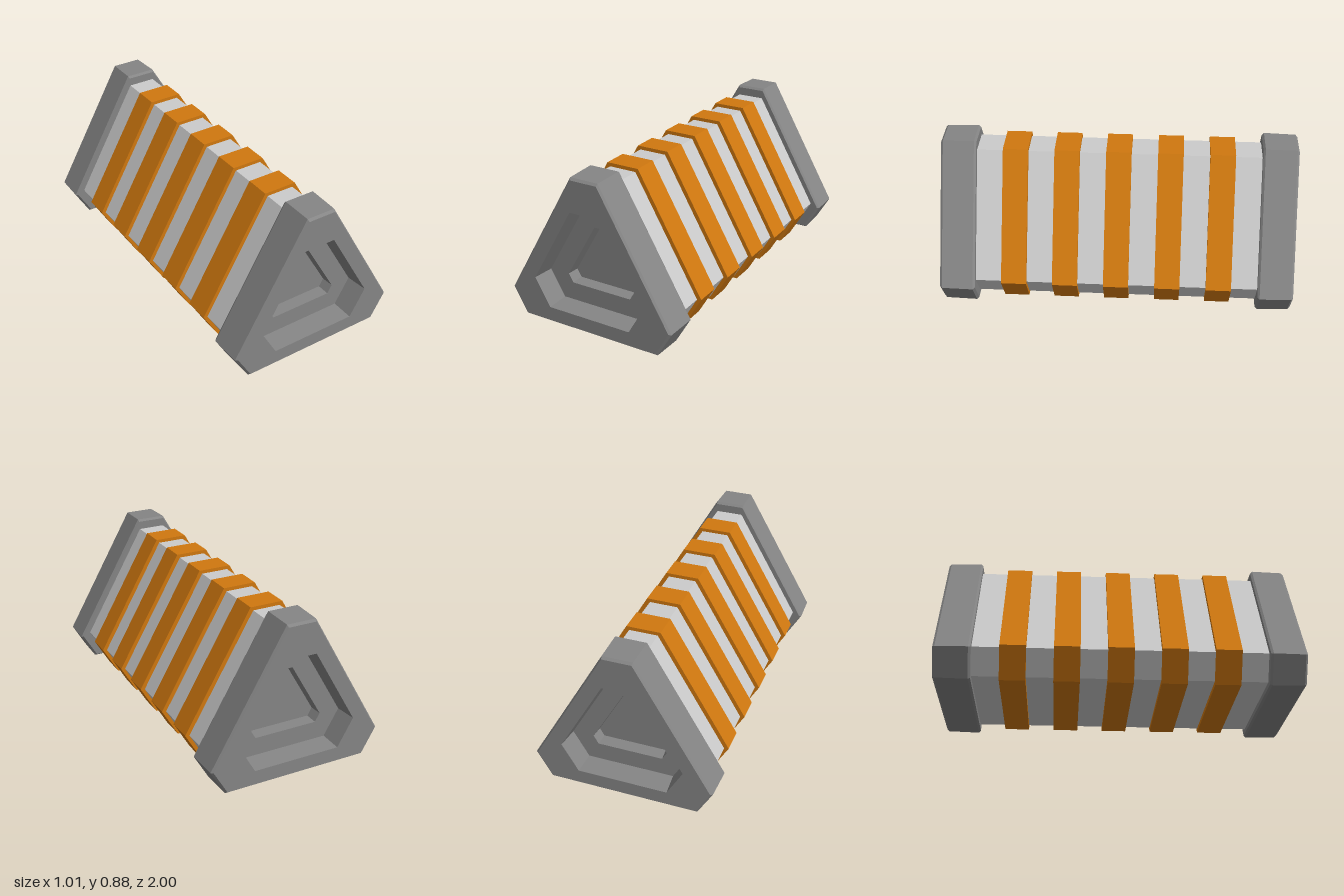
import * as THREE from 'three';

const AXIS_Y = 0.343; // height of the long axis

// Triangle with cut corners: e = distance to a cut edge, w = half its width
function section(z, e, w) {
  const pts = [];
  for (let k = 0; k < 3; k++) {
    const c = Math.cos((k * 2 * Math.PI) / 3), s = Math.sin((k * 2 * Math.PI) / 3);
    for (const x of [w, -w]) pts.push([x * c - e * s, x * s + e * c, z]);
  }
  return pts;
}

// Skin a list of [z, e, w] sections with flat faces
function loft(sections) {
  const rings = sections.map((r) => section(...r));
  const pos = [];
  for (let j = 0; j < rings.length - 1; j++) {
    const a = rings[j], b = rings[j + 1];
    for (let i = 0; i < 6; i++) {
      const n = (i + 1) % 6;
      if (sections[j][1] > 0) pos.push(...a[i], ...a[n], ...b[n]);
      if (sections[j + 1][1] > 0) pos.push(...a[i], ...b[n], ...b[i]);
    }
  }
  const g = new THREE.BufferGeometry();
  g.setAttribute('position', new THREE.Float32BufferAttribute(pos, 3));
  g.computeVertexNormals();
  return g;
}

function prism(halfLength, e, w) {
  return loft([[-halfLength, 0, 0], [-halfLength, e, w], [halfLength, e, w], [halfLength, 0, 0]]);
}

export function createModel() {
  const group = new THREE.Group();
  const material = (color) => new THREE.MeshStandardMaterial({ color, flatShading: true });
  const grey = material(0xcccccc), dark = material(0x858585), orange = material(0xd0780f);

  function add(name, geometry, mat, z = 0) {
    const mesh = new THREE.Mesh(geometry, mat);
    mesh.name = name;
    mesh.position.set(0, AXIS_Y, z);
    group.add(mesh);
    return mesh;
  }

  // Long body
  add('body', prism(0.805, 0.476, 0.079), grey);

  // Five raised bands
  const bandGeometry = prism(0.071, 0.496, 0.095);
  for (let i = -2; i <= 2; i++) add('band' + (i + 3), bandGeometry, orange, i * 0.29);

  // End caps: chamfered, slightly tapered, with a two-step recess
  const capGeometry = loft([
    [0.8, 0, 0],
    [0.8, 0.524, 0.083],
    [0.812, 0.536, 0.086],
    [0.988, 0.532, 0.083],
    [1, 0.52, 0.08],
    [1, 0.342, 0.09],
    [0.88, 0.33, 0.085],
    [0.88, 0.226, 0.027],
    [0.812, 0.22, 0.025],
    [0.812, 0, 0],
  ]);
  add('frontCap', capGeometry, dark);
  add('backCap', capGeometry, dark).rotation.y = Math.PI;

  return group;
}
